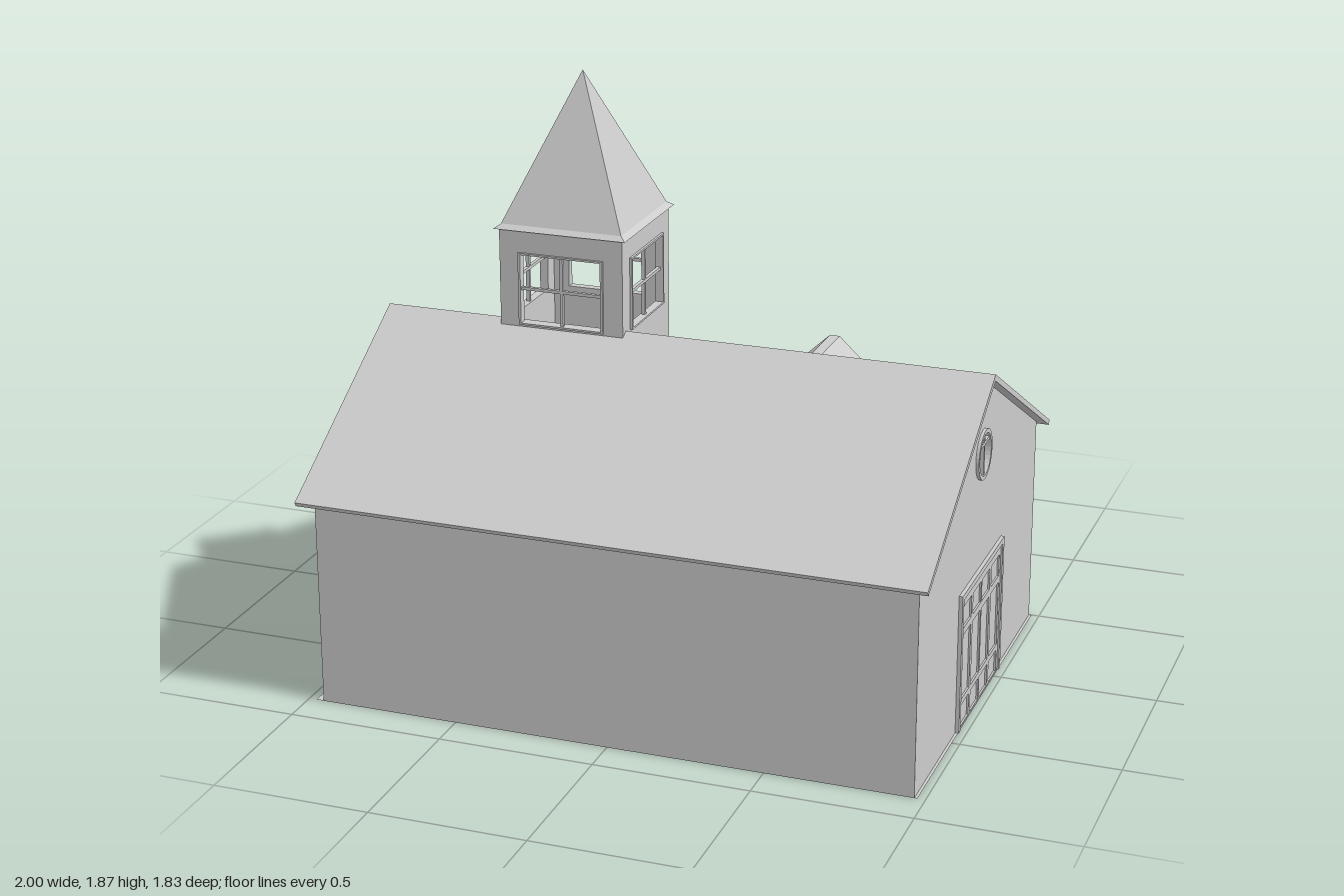
import * as THREE from 'three';

const mat = new THREE.MeshStandardMaterial({ color: 0xcccccc, flatShading: true, side: THREE.DoubleSide });

function add(parent, name, geometry, x = 0, y = 0, z = 0) {
  const m = new THREE.Mesh(geometry, mat);
  m.name = name;
  m.position.set(x, y, z);
  parent.add(m);
  return m;
}

function group(parent, name, x = 0, y = 0, z = 0, turn = 0) {
  const g = new THREE.Group();
  g.name = name;
  g.position.set(x, y, z);
  g.rotation.y = turn;
  parent.add(g);
  return g;
}

const polygon = pts => new THREE.Shape(pts.map(p => new THREE.Vector2(p[0], p[1])));
const rect = (x0, x1, y0, y1) => polygon([[x0, y0], [x1, y0], [x1, y1], [x0, y1]]);
const box = (w, h, d) => new THREE.BoxGeometry(w, h, d);

function slab(shape, depth, holes = []) {
  shape.holes.push(...holes);
  return new THREE.ExtrudeGeometry(shape, { depth, bevelEnabled: false, curveSegments: 16 });
}

const disc = (x, y, r) => new THREE.Shape().absarc(x, y, r, 0, Math.PI * 2, false);

// Raised door facing +z: U-shaped frame and a leaf with sunken panels
function door(parent, name, x, z, turn, w, h, rim, columns, rows) {
  const g = group(parent, name, x, 0, z, turn);
  const o = w / 2, i = o - rim;
  add(g, 'doorFrame', slab(polygon([[-o, 0], [-i, 0], [-i, h - rim], [i, h - rim], [i, 0], [o, 0], [o, h], [-o, h]]), 0.012));
  const panels = [];
  for (const [a, b] of columns) for (const [c, d] of rows) panels.push(rect(a, b, c, d));
  add(g, 'doorLeaf', slab(rect(-i, i, 0, h - rim), 0.006, panels));
}

// Chapel hall with gable ends at left and right
function buildHall(root) {
  const g = group(root, 'hall');
  const x0 = -0.95, x1 = 0.966, z0 = -0.5, z1 = 0.88, t = 0.02;
  const w = x1 - x0, cx = (x0 + x1) / 2;
  add(g, 'frontWall', box(w, 0.68, t), cx, 0.34, z1 - t / 2);
  add(g, 'backWall', box(w, 0.69, t), cx, 0.345, z0 + t / 2);
  const floor = new THREE.PlaneGeometry(1.95, z1 - z0).rotateX(Math.PI / 2);
  add(g, 'floor', floor, 0, 0, (z0 + z1) / 2);

  const gable = () => polygon([[-z1, 0], [-z0, 0], [-z0, 0.69], [-0.205, 1.078], [-z1, 0.68]]);
  const alongX = geo => geo.rotateY(Math.PI / 2);
  add(g, 'rightGable', alongX(slab(gable(), t)), x0);
  add(g, 'leftGable', alongX(slab(gable(), t, [disc(-0.2, 0.83, 0.07)])), x1 - t);

  // Roof with a thin even thickness
  const roof = polygon([[-0.915, 0.674], [-0.907, 0.66], [-0.205, 1.071], [0.533, 0.668], [0.54, 0.683], [-0.205, 1.092]]);
  add(g, 'mainRoof', alongX(slab(roof, 2)), -1);

  // Round gable window with offset cross bars
  const win = group(g, 'roundWindow', x1, 0.83, 0.2, Math.PI / 2);
  add(win, 'windowRing', slab(disc(0, 0, 0.08), 0.022, [disc(0, 0, 0.067)]), 0, 0, -0.012);
  add(win, 'verticalBar', box(0.01, 0.14, 0.012));
  add(win, 'horizontalBar', box(0.122, 0.01, 0.012), 0, 0.035, 0);

  door(g, 'mainDoor', x1, 0.18, Math.PI / 2, 0.5, 0.455, 0.018,
    [[-0.214, -0.12], [-0.1, -0.006], [0.006, 0.1], [0.12, 0.214]],
    [[0.004, 0.076], [0.096, 0.31], [0.334, 0.405]]);
}

// Bell tower with four open windows and a flared spire
function buildTower(root) {
  const g = group(root, 'tower', -0.395, 0, 0.025);
  const half = 0.206, a = 0.134, y0 = 1.09, y1 = 1.314, mid = (y0 + y1) / 2;
  for (let k = 0; k < 4; k++) {
    const side = group(g, 'towerSide', 0, 0, 0, k * Math.PI / 2);
    add(side, 'towerWall', slab(rect(-half, half, 0.85, 1.4), 0.02, [rect(-a, a, y0, y1)]), 0, 0, half - 0.02);
    add(side, 'windowFrame', slab(rect(-a - 0.008, a + 0.008, y0 - 0.006, y1 + 0.006), 0.028, [rect(-a, a, y0, y1)]), 0, 0, half - 0.02);
    add(side, 'windowPost', box(0.01, y1 - y0, 0.012), 0, mid, half - 0.008);
    add(side, 'windowBar', box(2 * a, 0.01, 0.012), 0, mid, half - 0.008);
  }
  const frustum = (top, bottom, h) =>
    new THREE.CylinderGeometry(top * Math.SQRT2, bottom * Math.SQRT2, h, 4).rotateY(Math.PI / 4);
  add(g, 'spireFlare', frustum(0.201, 0.22, 0.014), 0, 1.4, 0);
  add(g, 'spire', frustum(0, 0.201, 0.463), 0, 1.6385, 0);
}

// Small porch on the back with its own gabled roof and door
function buildPorch(root) {
  const g = group(root, 'porch', 0.147, 0, 0);
  const w = 0.207, z0 = -0.875;
  add(g, 'porchWalls', slab(polygon([[-w, 0], [w, 0], [w, 0.56], [0, 0.735], [-w, 0.56]]), 0.375), 0, 0, z0);
  const roof = polygon([[-0.233, 0.55], [-0.22, 0.53], [0, 0.727], [0.22, 0.53], [0.233, 0.55], [0.0175, 0.752], [-0.0175, 0.752]]);
  add(g, 'porchRoof', slab(roof, 0.415), 0, 0, -0.918);
  door(g, 'porchDoor', 0, z0, Math.PI, 0.33, 0.5, 0.018,
    [[-0.135, -0.088], [-0.07, 0.07], [0.088, 0.135]],
    [[0.015, 0.1], [0.118, 0.155], [0.173, 0.258], [0.276, 0.313], [0.331, 0.39], [0.408, 0.465]]);
}

export function createModel() {
  const root = new THREE.Group();
  root.name = 'chapel';
  buildHall(root);
  buildTower(root);
  buildPorch(root);
  return root;
}
